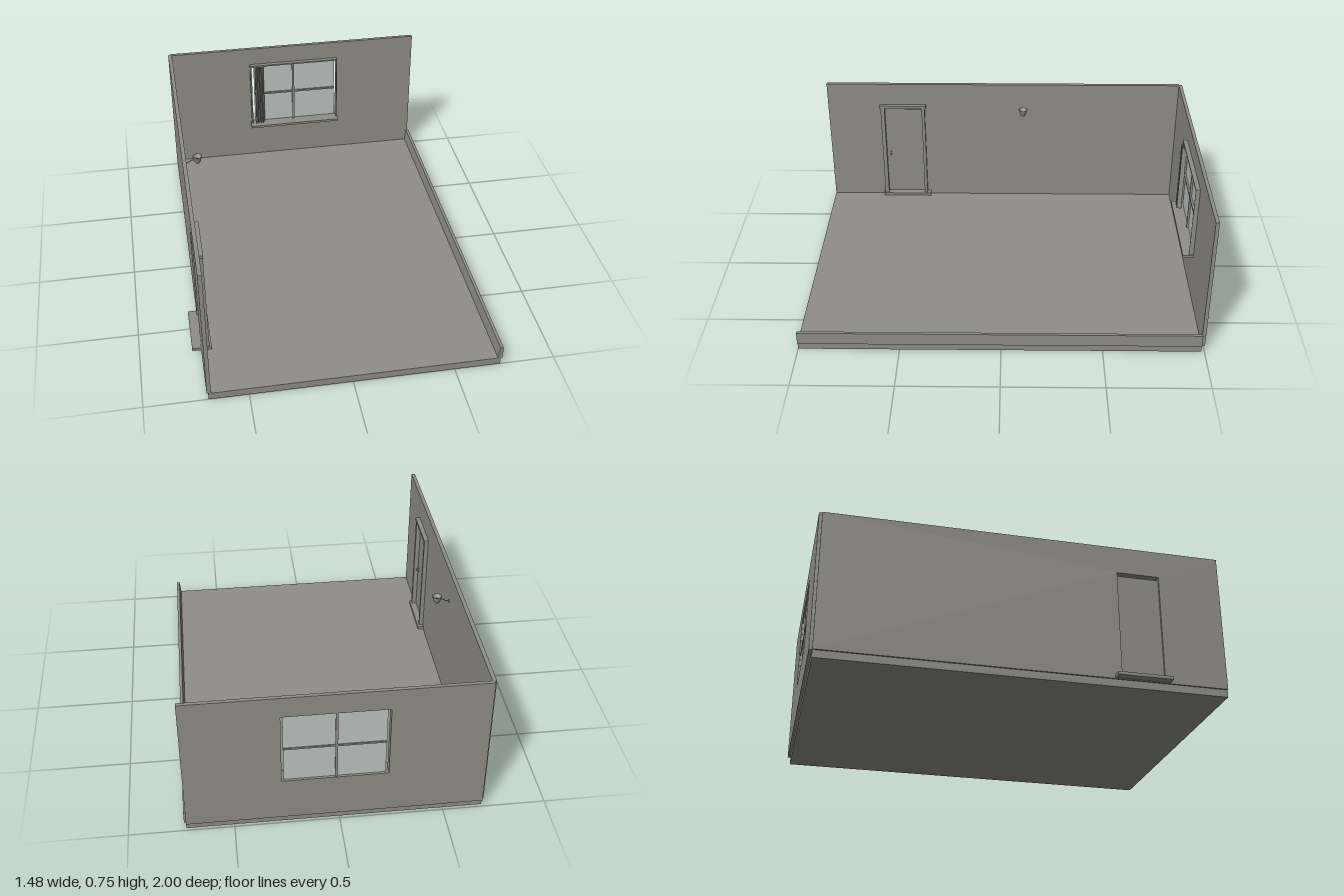
import * as THREE from 'three';

export function createModel() {
  const room = new THREE.Group();
  room.name = 'room';
  const plaster = new THREE.MeshStandardMaterial({ color: 0x8f8f86, side: THREE.DoubleSide });
  plaster.name = 'plaster grey';
  const glass = new THREE.MeshStandardMaterial({ color: 0xbcc5c2, side: THREE.DoubleSide });
  glass.name = 'pale glass';

  const add = (parent, name, geometry, material = plaster) => {
    const mesh = new THREE.Mesh(geometry, material);
    mesh.name = name;
    parent.add(mesh);
    return mesh;
  };
  // Box from minimum and maximum on each axis
  const box = (parent, name, [x0, x1], [y0, y1], [z0, z1], material) => {
    const g = new THREE.BoxGeometry(x1 - x0, y1 - y0, z1 - z0);
    g.translate((x0 + x1) / 2, (y0 + y1) / 2, (z0 + z1) / 2);
    return add(parent, name, g, material);
  };
  const group = (name) => {
    const g = new THREE.Group();
    g.name = name;
    room.add(g);
    return g;
  };
  const rect = (target, u0, u1, v0, v1) => {
    target.moveTo(u0, v0);
    target.lineTo(u1, v0);
    target.lineTo(u1, v1);
    target.lineTo(u0, v1);
    target.closePath();
    return target;
  };
  // Flat panel with a rectangular opening, extruded along +z
  const panel = (outer, hole, depth) => {
    const shape = rect(new THREE.Shape(), ...outer);
    shape.holes.push(rect(new THREE.Path(), ...hole));
    return new THREE.ExtrudeGeometry(shape, { depth, bevelEnabled: false });
  };

  // Floor slab
  box(room, 'floor', [-0.692, 0.728], [0, 0.038], [-0.985, 1]);

  // Back wall with window opening
  const opening = [-0.228, 0.273, 0.265, 0.647];
  add(room, 'backWall', panel([-0.692, 0.728, 0.038, 0.755], opening, 0.018)).position.z = -1;

  // Side wall with doorway; shape runs along -z, then turns to face x
  const sideWall = add(room, 'sideWall', panel([-1, 0.985, 0.038, 0.755], [-0.682, -0.467, 0.05, 0.613], 0.02));
  sideWall.rotation.y = Math.PI / 2;
  sideWall.position.x = -0.7;

  // Low skirting on the open side, with a chamfered inner face
  const skirt = new THREE.Shape([
    [0.715, 0.038], [0.737, 0.038], [0.737, 0.103], [0.722, 0.103], [0.717, 0.06],
  ].map(([x, y]) => new THREE.Vector2(x, y)));
  add(room, 'lowWall', new THREE.ExtrudeGeometry(skirt, { depth: 1.985, bevelEnabled: false })).position.z = -0.985;

  // Window
  const win = group('window');
  add(win, 'windowCasing', panel([-0.236, 0.278, 0.262, 0.655], opening, 0.023)).position.z = -0.982;
  box(win, 'windowSill', [-0.242, 0.281], [0.252, 0.265], [-0.982, -0.927]);
  box(win, 'windowPane', [-0.214, 0.264], [0.268, 0.645], [-0.991, -0.988], glass);
  box(win, 'verticalBar', [0.012, 0.024], [0.265, 0.647], [-0.996, -0.978]);
  box(win, 'crossBar', [-0.214, 0.264], [0.45, 0.459], [-0.996, -0.978]);

  // Gathered vertical blind
  box(win, 'blindRail', [-0.225, -0.145], [0.644, 0.65], [-0.963, -0.957]);
  for (let i = 0; i < 4; i++) {
    const slat = add(win, 'blindSlat', new THREE.BoxGeometry(0.026, 0.374, 0.0015));
    slat.position.set(-0.205 + i * 0.0135, 0.457, -0.96);
    slat.rotation.y = 1.05;
  }

  // Door with inner casing and threshold
  const door = group('door');
  box(door, 'doorLeaf', [-0.694, -0.682], [0.06, 0.597], [0.469, 0.68]);
  box(door, 'threshold', [-0.743, -0.648], [0.042, 0.058], [0.432, 0.707]);
  for (const [z0, z1] of [[0.452, 0.469], [0.68, 0.702]])
    box(door, 'doorPost', [-0.682, -0.658], [0.058, 0.615], [z0, z1]);
  box(door, 'doorLintel', [-0.682, -0.656], [0.613, 0.629], [0.445, 0.709]);
  box(door, 'handlePlate', [-0.683, -0.677], [0.296, 0.322], [0.651, 0.663]);
  const knob = add(door, 'doorKnob', new THREE.SphereGeometry(0.006, 12, 8));
  knob.position.set(-0.672, 0.309, 0.657);
  for (const y of [0.14, 0.31, 0.56])
    box(door, 'hinge', [-0.683, -0.677], [y, y + 0.02], [0.468, 0.472]);

  // Wall lamp: open shade on a curved arm
  const lamp = group('wallLamp');
  lamp.position.set(-0.615, 0, -0.108);
  const profile = [[0.001, 0.594], [0.01, 0.595], [0.015, 0.6], [0.019, 0.615], [0.025, 0.634], [0.023, 0.634], [0.016, 0.612], [0.001, 0.6]]
    .map(([r, y]) => new THREE.Vector2(r, y));
  add(lamp, 'lampShade', new THREE.LatheGeometry(profile, 20));
  add(lamp, 'bulb', new THREE.SphereGeometry(0.01, 12, 8)).position.y = 0.612;
  const arm = new THREE.CatmullRomCurve3([
    [-0.068, 0.6], [-0.045, 0.603], [-0.03, 0.612], [-0.017, 0.612],
  ].map(([x, y]) => new THREE.Vector3(x, y, 0)));
  add(lamp, 'lampArm', new THREE.TubeGeometry(arm, 12, 0.0025, 8));
  const rose = add(lamp, 'wallPlate', new THREE.CylinderGeometry(0.009, 0.009, 0.004, 16));
  rose.rotation.z = Math.PI / 2;
  rose.position.set(-0.064, 0.6, 0);

  return room;
}
